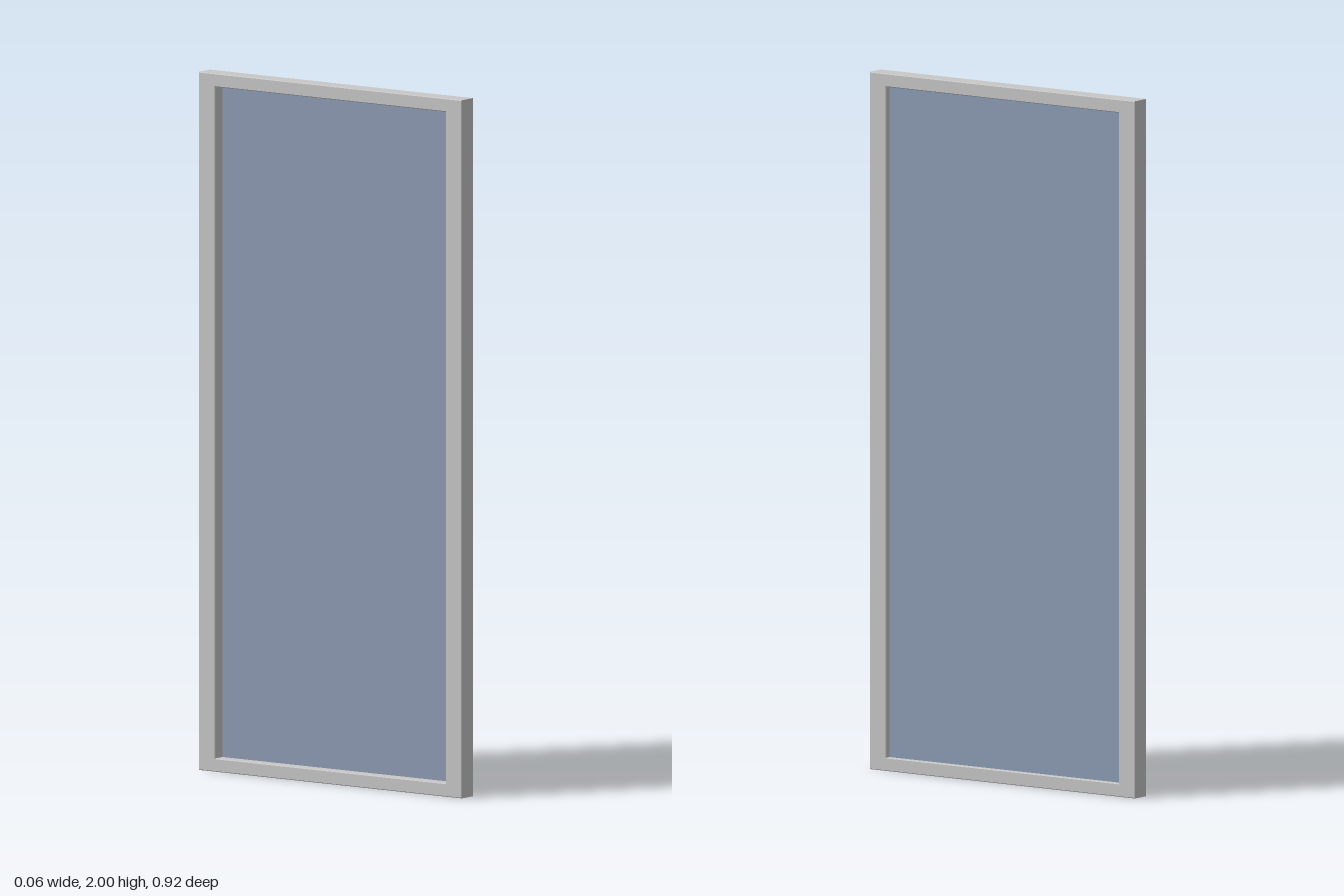
import * as THREE from 'three';

const HEIGHT = 2, HALF_WIDTH = 0.462, DEPTH = 0.056;
const STILE = 0.057, RAIL = 0.038, BEVEL = 0.002;

// Rectangle outline centred on the width axis
function rectangle(Path, halfWidth, bottom, top) {
  return new Path([
    [-halfWidth, bottom], [halfWidth, bottom], [halfWidth, top], [-halfWidth, top],
  ].map(([x, y]) => new THREE.Vector2(x, y)));
}

export function createModel() {
  const group = new THREE.Group();
  group.name = 'windowPanel';

  const frameGrey = new THREE.MeshStandardMaterial({ color: 0xc8c8c8 });
  frameGrey.name = 'frameGrey';
  const glassBlue = new THREE.MeshStandardMaterial({ color: 0x8e9cb5 });
  glassBlue.name = 'glassBlue';

  // Frame: one outline with an opening, edges eased very slightly
  const outline = rectangle(THREE.Shape, HALF_WIDTH, 0, HEIGHT);
  outline.holes.push(rectangle(THREE.Path, HALF_WIDTH - STILE, RAIL, HEIGHT - RAIL));
  const frameGeometry = new THREE.ExtrudeGeometry(outline, {
    depth: DEPTH - 2 * BEVEL,
    bevelEnabled: true,
    bevelThickness: BEVEL,
    bevelSize: BEVEL,
    bevelOffset: -BEVEL,
    bevelSegments: 1,
  });
  frameGeometry.translate(0, 0, BEVEL - DEPTH / 2).rotateY(Math.PI / 2);
  const frame = new THREE.Mesh(frameGeometry, frameGrey);
  frame.name = 'frame';

  // Pane: thin sheet set nearer the +x face, tucked just into the frame
  const pane = new THREE.Mesh(
    new THREE.BoxGeometry(0.004, HEIGHT - 2 * RAIL + 0.01, 2 * (HALF_WIDTH - STILE) + 0.01),
    glassBlue,
  );
  pane.name = 'glassPane';
  pane.position.set(0.01, HEIGHT / 2, 0);

  group.add(frame, pane);
  return group;
}
